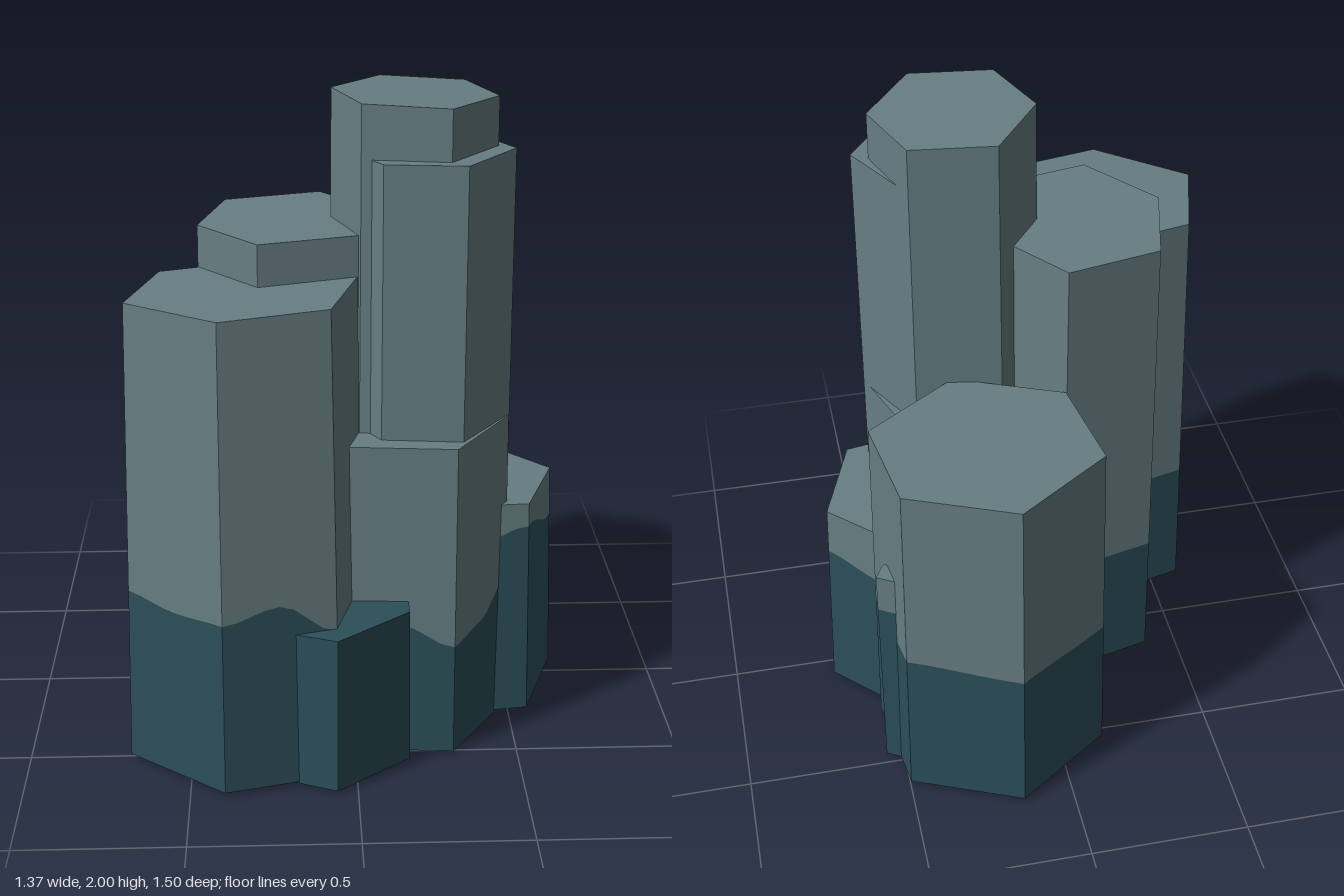
import * as THREE from 'three';

const rock = new THREE.MeshStandardMaterial({ name: 'greyRock', color: 0x677e83, flatShading: true });
const wet = new THREE.MeshStandardMaterial({ name: 'wetRock', color: 0x2c4f59, flatShading: true });
const STEPS = 8; // points along each side of a column

// Full outline from half of its corners, repeated through the centre
const opposed = (cx, cz, half) => [...half, ...half.map(([x, z]) => [2 * cx - x, 2 * cz - z])];

// Value at t (0..1) of a list spread evenly around the outline, softly blended
function around(list, t) {
  const s = t * list.length;
  const i = Math.floor(s);
  const ease = (1 - Math.cos(Math.PI * (s - i))) / 2;
  return THREE.MathUtils.lerp(list[i % list.length], list[(i + 1) % list.length], ease);
}

// Faces between two rings
function band(lower, upper, out) {
  lower.forEach((a, i) => {
    const j = (i + 1) % lower.length;
    out.push(a, lower[j], upper[j], a, upper[j], upper[i]);
  });
}

// Flat fan closing a ring
function cap(ring, out, up) {
  const mid = ring.reduce((s, p) => s.add(p), new THREE.Vector3()).divideScalar(ring.length);
  ring.forEach((p, i) => {
    const q = ring[(i + 1) % ring.length];
    out.push(mid, up ? p : q, up ? q : p);
  });
}

function makeMesh(points, material, name) {
  const geometry = new THREE.BufferGeometry().setFromPoints(points);
  geometry.computeVertexNormals();
  const mesh = new THREE.Mesh(geometry, material);
  mesh.name = name;
  return mesh;
}

// Tapered column: tilt slopes the top along x, spread widens the base, line is the wet height
function makeColumn(name, corners, { height, tilt = 0, spread, foot = 0.01, line }) {
  const n = corners.length;
  const cx = corners.reduce((s, c) => s + c[0], 0) / n;
  const cz = corners.reduce((s, c) => s + c[1], 0) / n;
  const base = [], top = [];
  corners.forEach((a, i) => {
    const b = corners[(i + 1) % n];
    for (let k = 0; k < STEPS; k++) {
      const x = THREE.MathUtils.lerp(a[0], b[0], k / STEPS);
      const z = THREE.MathUtils.lerp(a[1], b[1], k / STEPS);
      top.push(new THREE.Vector3(x, height + (x - cx) * tilt, z));
      base.push(new THREE.Vector3(cx + (x - cx) * spread, foot, cz + (z - cz) * spread));
    }
  });

  const group = new THREE.Group();
  group.name = name;
  const low = [], high = [];
  cap(base, low, false);
  if (line) {
    const edge = base.map((p, i) => {
      const y = around(line, i / base.length);
      return p.clone().lerp(top[i], (y - foot) / (top[i].y - foot));
    });
    band(base, edge, low);
    band(edge, top, high);
    cap(top, high, true);
    group.add(makeMesh(high, rock, 'dryShaft'));
  } else {
    band(base, top, low);
    cap(top, low, true);
  }
  group.add(makeMesh(low, wet, 'wetBase'));
  return group;
}

export function createModel() {
  const model = new THREE.Group();
  model.name = 'basaltColumns';
  const add = (name, corners, options) => model.add(makeColumn(name, corners, options));

  // Tall columns
  add('tallestColumn', opposed(0.185, 0.143, [[0.095, -0.108], [-0.06, 0.108], [0.02, 0.35]]),
    { height: 1.99, tilt: -0.03, spread: 1.05, line: [0.45] });
  add('secondColumn', [[0.34, -0.06], [0.1, 0], [0.05, 0.36], [0.08, 0.415], [0.32, 0.44], [0.48, 0.21]],
    { height: 1.835, spread: 1.02, line: [0.4] });
  add('middleLeftColumn', opposed(-0.185, 0.1, [[-0.385, -0.135], [-0.46, 0.165], [-0.28, 0.405]]),
    { height: 1.605, tilt: 0.02, spread: 1.05, line: [0.46] });
  add('frontLeftColumn', opposed(-0.325, 0.42, [[-0.575, 0.2], [-0.66, 0.505], [-0.39, 0.72]]),
    { height: 1.475, tilt: 0.03, spread: 1.09, foot: 0.015,
      line: [0.48, 0.52, 0.57, 0.55, 0.56, 0.6, 0.5, 0.48, 0.48, 0.48, 0.48, 0.48] });

  // Lower columns
  add('backColumn', opposed(0.2, -0.405, [[0.16, -0.74], [-0.13, -0.535], [-0.085, -0.21]]),
    { height: 1.18, spread: 1.045, foot: 0.015, line: [0.52, 0.5, 0.48, 0.5, 0.51, 0.54] });
  add('frontStep', opposed(0.19, 0.24, [[-0.03, 0.47], [0.3, 0.5], [0.48, 0.22]]),
    { height: 1.005, spread: 1.03, foot: 0,
      line: [0.48, 0.43, 0.36, 0.375, 0.46, 0.48, 0.48, 0.48, 0.48, 0.48, 0.48, 0.48] });
  add('rightStep', opposed(0.42, 0.03, [[0.55, 0.24], [0.655, -0.06], [0.51, -0.21]]),
    { height: 0.72, tilt: -0.03, spread: 1.09, line: [0.64, 0.55, 0.52, 0.52, 0.52, 0.56] });

  // Small shards
  add('backSliver', opposed(0.505, -0.467, [[0.485, -0.515], [0.455, -0.46]]),
    { height: 0.78, spread: 1.03, foot: 0.015, line: [0.65] });
  add('frontStub', opposed(-0.015, 0.585, [[-0.19, 0.68], [-0.06, 0.735], [0.16, 0.56]]),
    { height: 0.507, tilt: 0.02, spread: 1.03 });
  return model;
}
